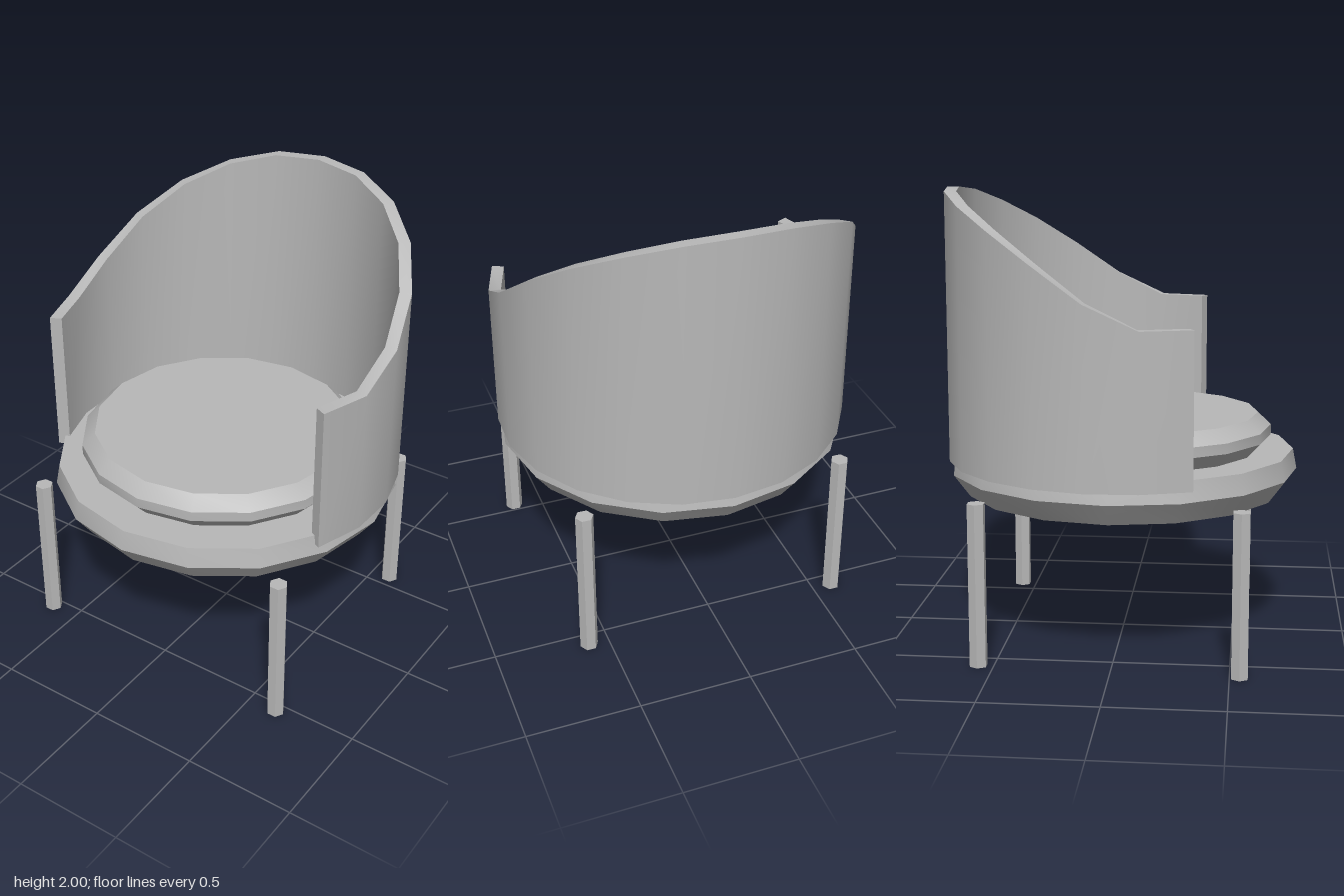
import * as THREE from 'three';
import { toCreasedNormals } from 'three/addons/utils/BufferGeometryUtils.js';

const CREASE = Math.PI / 6;

// Round upholstered disc from a [radius, height] profile
function disc(profile, material, name) {
  const points = profile.map(([r, y]) => new THREE.Vector2(r, y));
  const mesh = new THREE.Mesh(toCreasedNormals(new THREE.LatheGeometry(points, 16), CREASE), material);
  mesh.name = name;
  return mesh;
}

// Curved wall with a top edge that sweeps down from the back to the arms
function backrestGeometry() {
  const outer = 0.784, inner = 0.731, bottom = 0.805;
  const heights = [2, 1.985, 1.93, 1.84, 1.715, 1.565, 1.46, 1.46]; // centre back to arm end
  const last = heights.length - 1;
  const step = THREE.MathUtils.degToRad(16.6);
  const positions = [], index = [];
  for (let i = -last; i <= last; i++) {
    const s = Math.sin(i * step), c = -Math.cos(i * step), top = heights[Math.abs(i)];
    for (const [r, y] of [[outer, bottom], [outer, top], [inner, top], [inner, bottom]]) {
      positions.push(r * s, y, r * c);
    }
  }
  const segments = last * 2;
  for (let i = 0; i < segments; i++) {
    for (let k = 0; k < 4; k++) {
      const a = i * 4 + k, b = i * 4 + (k + 1) % 4;
      index.push(a, b, a + 4, b, b + 4, a + 4);
    }
  }
  // Arm end caps
  const e = segments * 4;
  index.push(0, 2, 1, 0, 3, 2, e, e + 1, e + 2, e, e + 2, e + 3);
  const geometry = new THREE.BufferGeometry();
  geometry.setAttribute('position', new THREE.Float32BufferAttribute(positions, 3));
  geometry.setIndex(index);
  return toCreasedNormals(geometry, CREASE);
}

export function createModel() {
  const chair = new THREE.Group();
  chair.name = 'tubChair';
  const grey = new THREE.MeshStandardMaterial({ color: 0xb8b8b8 });
  grey.name = 'grey';

  // Seat base and cushion
  chair.add(disc([[0, 0.66], [0.705, 0.66], [0.777, 0.758], [0.76, 0.847], [0, 0.847]], grey, 'seatBase'));
  const cushion = disc(
    [[0, 0.847], [0.577, 0.847], [0.635, 0.91], [0.635, 0.955], [0.577, 1.01], [0, 1.01]], grey, 'seatCushion');
  cushion.position.z = 0.025;
  chair.add(cushion);

  // Wraparound back and arms
  const backrest = new THREE.Mesh(backrestGeometry(), grey);
  backrest.name = 'backrest';
  chair.add(backrest);

  // Hexagonal legs
  const legGeometry = toCreasedNormals(new THREE.CylinderGeometry(0.04, 0.04, 0.71, 6).rotateY(Math.PI / 2), CREASE);
  for (const [end, x, z] of [['front', 0.635, 0.542], ['back', 0.59, -0.565]]) {
    for (const side of [1, -1]) {
      const leg = new THREE.Mesh(legGeometry, grey);
      leg.name = end + (side > 0 ? 'LeftLeg' : 'RightLeg');
      leg.position.set(side * x, 0.355, z);
      chair.add(leg);
    }
  }
  return chair;
}
